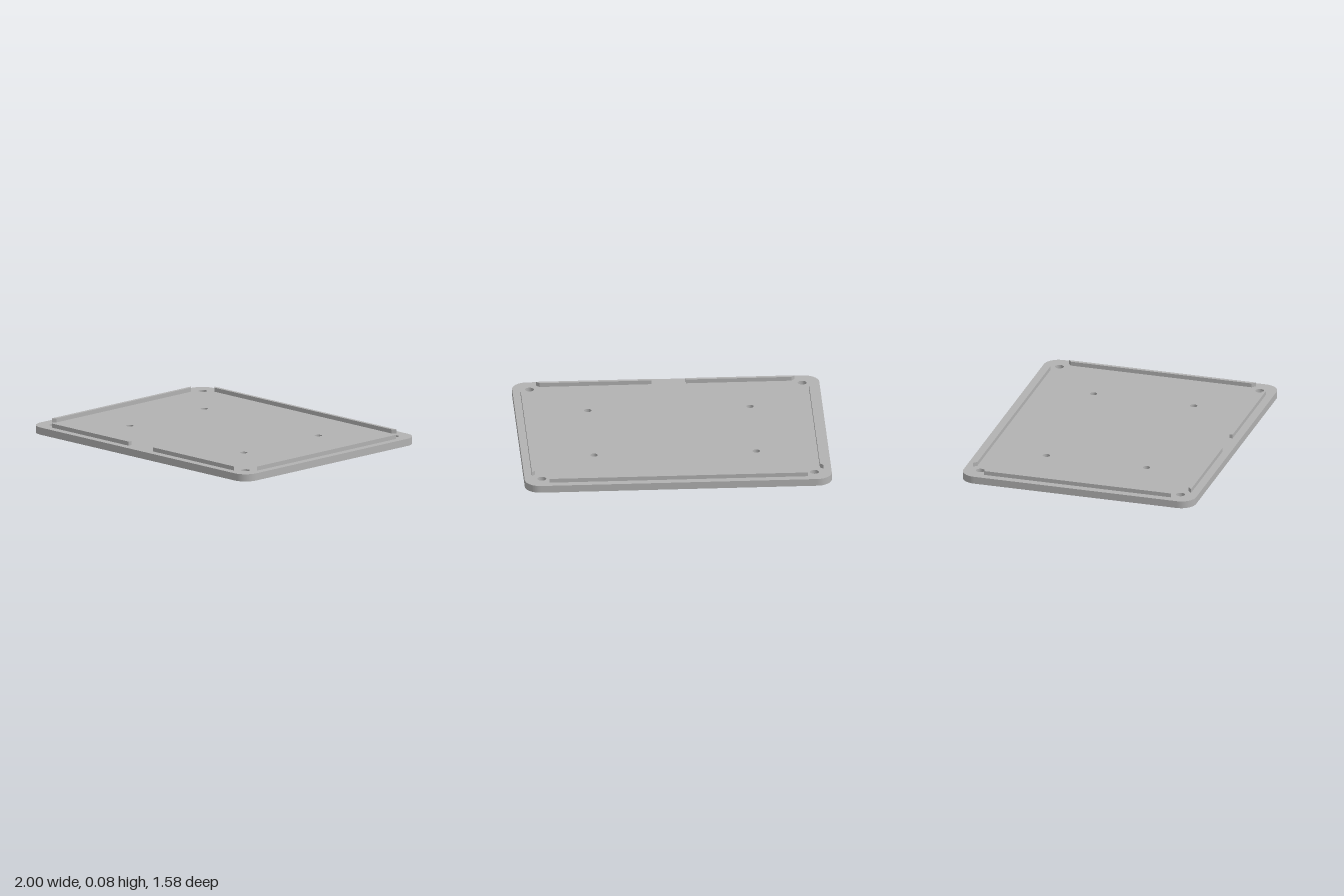
import * as THREE from 'three';

const BASE = 0.048, TOP = 0.075; // plate thickness, rib top height

// Shapes are drawn in (x, z); turning +90 degrees about x sends depth downwards from topY.
function slab(shape, bottomY, topY, material, name) {
  const geometry = new THREE.ExtrudeGeometry(shape, {
    depth: topY - bottomY, bevelEnabled: false, curveSegments: 16,
  });
  geometry.rotateX(Math.PI / 2);
  geometry.translate(0, topY, 0);
  const mesh = new THREE.Mesh(geometry, material);
  mesh.name = name;
  return mesh;
}

function roundedRect(w, d, r) {
  const s = new THREE.Shape();
  s.absarc(w - r, d - r, r, 0, Math.PI / 2);
  s.absarc(-w + r, d - r, r, Math.PI / 2, Math.PI);
  s.absarc(-w + r, -d + r, r, Math.PI, Math.PI * 1.5);
  s.absarc(w - r, -d + r, r, Math.PI * 1.5, Math.PI * 2);
  s.closePath();
  return s;
}

const polygon = (points) => new THREE.Shape(points.map(([x, z]) => new THREE.Vector2(x, z)));

export function createModel() {
  const grey = new THREE.MeshStandardMaterial({ color: 0xb2b2b2 });
  grey.name = 'plain grey';
  const model = new THREE.Group();
  model.name = 'enclosureLid';

  // Rounded plate with corner screw holes and inner mounting holes
  const plate = roundedRect(1, 0.79, 0.1);
  for (const [x, z, r] of [[0.888, 0.68, 0.029], [0.528, 0.34, 0.024]]) {
    for (const sx of [-1, 1]) for (const sz of [-1, 1]) {
      const hole = new THREE.Path();
      hole.absarc(sx * x, sz * z, r, 0, Math.PI * 2, true);
      plate.holes.push(hole);
    }
  }
  model.add(slab(plate, 0, BASE, grey, 'basePlate'));

  // Locating ribs with mitred ends, longer along their outer edge
  const ribs = {
    backRib: [[-0.842, -0.743], [0.842, -0.743], [0.82, -0.72], [-0.82, -0.72]],
    leftRib: [[0.95, -0.635], [0.95, 0.635], [0.927, 0.613], [0.927, -0.613]],
    rightRib: [[-0.95, -0.635], [-0.95, 0.635], [-0.927, 0.613], [-0.927, -0.613]],
    // The front rib is split by a gap
    frontLeftRib: [[0.09, 0.738], [0.842, 0.738], [0.82, 0.715], [0.09, 0.715]],
    frontRightRib: [[-0.133, 0.738], [-0.842, 0.738], [-0.82, 0.715], [-0.133, 0.715]],
  };
  for (const [name, points] of Object.entries(ribs)) {
    model.add(slab(polygon(points), BASE, TOP, grey, name));
  }
  return model;
}
